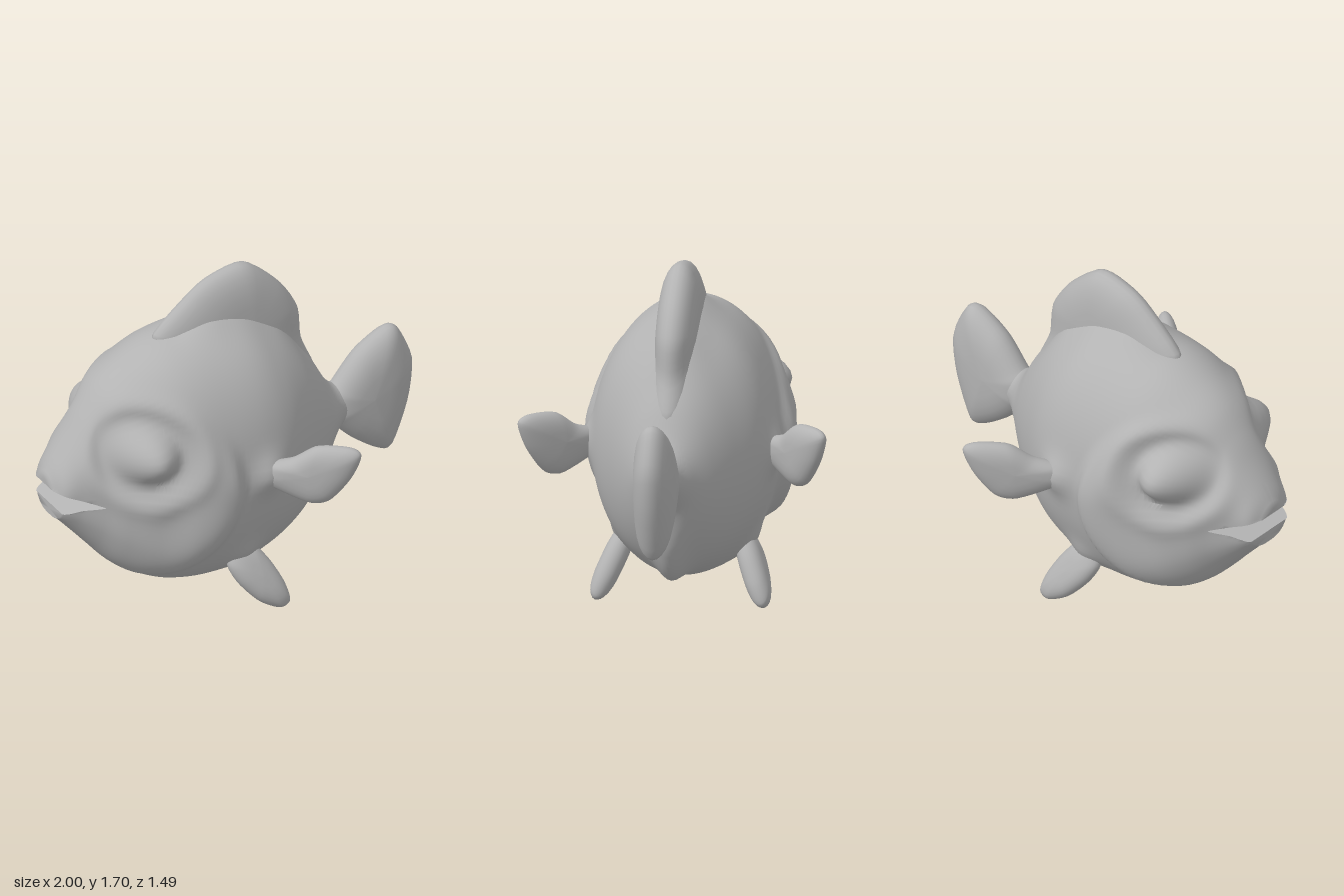
import * as THREE from 'three';
import { mergeGeometries, toCreasedNormals } from 'three/addons/utils/BufferGeometryUtils.js';

const { smoothstep, lerp, clamp } = THREE.MathUtils;

// Skin a grid of closed rings; point(i, j) returns [x, y, z]
function skin(rings, sides, point) {
  const pos = [], idx = [];
  for (let i = 0; i <= rings; i++) {
    for (let j = 0; j < sides; j++) {
      pos.push(...point(i, j));
      if (i === rings) continue;
      const a = i * sides + j, b = i * sides + (j + 1) % sides;
      idx.push(a, b, a + sides, b, b + sides, a + sides);
    }
  }
  const geo = new THREE.BufferGeometry();
  geo.setAttribute('position', new THREE.Float32BufferAttribute(pos, 3));
  geo.setIndex(idx);
  geo.computeVertexNormals();
  return geo;
}

// Body stations from lips to tail stem: x, bottom, top, half width
const stations = [
  [-1.0, 0.60, 0.82, 0.085], [-0.96, 0.585, 0.89, 0.145], [-0.88, 0.50, 1.01, 0.185],
  [-0.80, 0.41, 1.13, 0.235], [-0.70, 0.30, 1.25, 0.31], [-0.57, 0.205, 1.335, 0.385],
  [-0.40, 0.12, 1.41, 0.44], [-0.20, 0.09, 1.44, 0.45], [0, 0.12, 1.43, 0.44],
  [0.15, 0.17, 1.36, 0.40], [0.30, 0.25, 1.25, 0.31], [0.42, 0.38, 1.10, 0.225],
  [0.52, 0.57, 0.93, 0.14], [0.60, 0.66, 0.87, 0.085], [0.72, 0.68, 0.85, 0.06],
];
const heights = new THREE.CatmullRomCurve3(
  stations.map(([x, b, t]) => new THREE.Vector3(x, b, t)), false, 'catmullrom');
const widths = new THREE.CatmullRomCurve3(
  stations.map(([x, , , w]) => new THREE.Vector3(x, w, 0)), false, 'catmullrom');

const bump = (d, s) => Math.exp(-((d / s) ** 2));

// Sideways relief: cheek ridge, eye socket, eye bulge and side fin roots
function relief(x, y) {
  const r = Math.hypot(x + 0.6, (y - 0.74) / 1.15);
  const cheek = 0.062 * smoothstep(r, 0.1, 0.35) * (1 - smoothstep(r, 0.38, 0.46))
    * smoothstep(x, -0.8, -0.4) * (1 - 0.7 * smoothstep(y, 0.75, 1.1));
  const d = Math.hypot(x + 0.61, y - 0.96);
  const eye = 0.075 * bump(d, 0.1) - 0.05 * bump(d - 0.16, 0.06) + 0.015 * bump(d - 0.26, 0.05);
  const roots = 0.05 * bump(Math.hypot(x + 0.01, y - 0.77), 0.09)
    + 0.04 * bump(Math.hypot(x + 0.08, y - 0.27), 0.09);
  return cheek + eye + roots;
}

const SIDES = 96;
function bodyPoint(station, j) {
  const u = station / (stations.length - 1), h = heights.getPoint(u), x = h.x;
  const a = (j / SIDES) * Math.PI * 2, c = Math.cos(a), s = Math.sin(a);
  const y = (h.y + h.z) / 2 + c * (h.z - h.y) / 2;
  // the head has full jowls below
  const jowl = smoothstep(-c, 0, 0.6) * (1 - smoothstep(x, -0.75, -0.35));
  const w = widths.getPoint(u).y * (1 + 0.06 * jowl);
  const z = Math.sign(s) * w * Math.abs(s) ** (1 - 0.3 * jowl);
  const out = relief(x, y) * Math.min(1, Math.abs(z) / 0.15);
  // raised root under the dorsal fin, and the anal keel
  const lift = 0.07 * bump(z, 0.12) * smoothstep(c, 0, 0.6)
    * smoothstep(x, -0.35, -0.1) * (1 - smoothstep(x, 0.2, 0.38));
  const keel = 0.11 * bump(z, 0.08) * smoothstep(-c, 0, 0.6)
    * smoothstep(x, 0.12, 0.42) * (1 - smoothstep(x, 0.47, 0.53));
  return [x, y + lift - keel, z + Math.sign(z) * out];
}

const trunk = (from, to, rings) =>
  skin(rings, SIDES, (i, j) => bodyPoint(lerp(from, to, i / rings), j));

// Jaw: body stations trimmed by limit, with a closed front
function jaw(from, to, rings, limit) {
  return skin(rings + 1, SIDES, (i, j) => {
    const s = lerp(from, to, Math.max(0, i - 1) / rings);
    const [x, y, z] = bodyPoint(s, j);
    if (i > 0) return [x, limit(x, y), z];
    const top = limit(x, bodyPoint(s, 0)[1]), bottom = limit(x, bodyPoint(s, SIDES / 2)[1]);
    return [x, (top + bottom) / 2, 0];
  });
}

// Pillowy fin from a clockwise outline
function finGeometry(outline, thickness) {
  const curve = new THREE.CatmullRomCurve3(
    outline.map(([x, y]) => new THREE.Vector3(x, y, 0)), true, 'catmullrom', 0.4);
  const n = 48, rings = 14;
  const pts = Array.from({ length: n }, (_, j) => curve.getPoint(j / n));
  const c = pts.reduce((s, p) => s.add(p), new THREE.Vector3()).divideScalar(n);
  return skin(rings, n, (i, j) => {
    const t = Math.PI * (0.5 - i / rings);
    const k = Math.max(0, Math.cos(t)) ** 0.7;
    return [lerp(c.x, pts[j].x, k), lerp(c.y, pts[j].y, k), thickness * Math.sin(t)];
  });
}

export function createModel() {
  const model = new THREE.Group();
  model.name = 'fish';
  const skinMaterial = new THREE.MeshStandardMaterial({ color: 0xb3b3b3 });
  skinMaterial.name = 'grey skin';
  const add = (name, geo) => {
    const mesh = new THREE.Mesh(geo, skinMaterial);
    mesh.name = name;
    model.add(mesh);
    return mesh;
  };

  // Body joined with both jaws, which meet at the mouth corner
  const gape = (x) => clamp((-0.8 - x) / 0.2, 0, 1);
  add('body', toCreasedNormals(mergeGeometries([
    trunk(3, 14, 100),
    jaw(0, 3, 16, (x, y) => Math.max(y, 0.70 + 0.07 * gape(x))),
    jaw(0.75, 3, 16, (x, y) => Math.min(y, 0.70 - 0.05 * gape(x))),
  ]), 0.9));

  // Fins on the centre line
  add('dorsalFin', finGeometry([[-0.42, 1.39], [-0.23, 1.58], [-0.1, 1.66], [0.09, 1.69],
    [0.27, 1.54], [0.37, 1.38], [0.39, 1.2], [0.46, 1.02], [0.28, 1.14], [0.08, 1.24],
    [-0.18, 1.31]], 0.1));
  add('tailFin', finGeometry([[0.53, 0.83], [0.58, 0.89], [0.7, 1.03], [0.85, 1.12], [0.92, 1.1],
    [0.995, 0.92], [0.97, 0.7], [0.88, 0.465], [0.8, 0.47], [0.67, 0.56], [0.57, 0.66],
    [0.53, 0.71]], 0.1));

  // Paired side fins
  const pectoral = finGeometry([[-0.07, 0.74], [-0.04, 0.82], [0.1, 0.87], [0.22, 0.95],
    [0.38, 0.965], [0.44, 0.93], [0.39, 0.8], [0.29, 0.67], [0.19, 0.64], [0.03, 0.69]], 0.06);
  const pelvic = finGeometry([[-0.17, 0.04], [-0.14, 0.13], [-0.04, 0.13], [0.04, 0.03],
    [0.1, -0.1], [0.115, -0.2], [0.06, -0.225], [-0.04, -0.17], [-0.13, -0.06]], 0.06);
  for (const [side, s] of [['left', -1], ['right', 1]]) {
    const pectoralFin = add(side + 'PectoralFin', pectoral);
    pectoralFin.position.set(0, 0, 0.44 * s);
    pectoralFin.rotation.y = -0.75 * s;
    const pelvicFin = add(side + 'PelvicFin', pelvic);
    pelvicFin.position.set(0, 0.205, 0.325 * s);
    pelvicFin.rotation.x = -0.4 * s;
  }
  return model;
}
